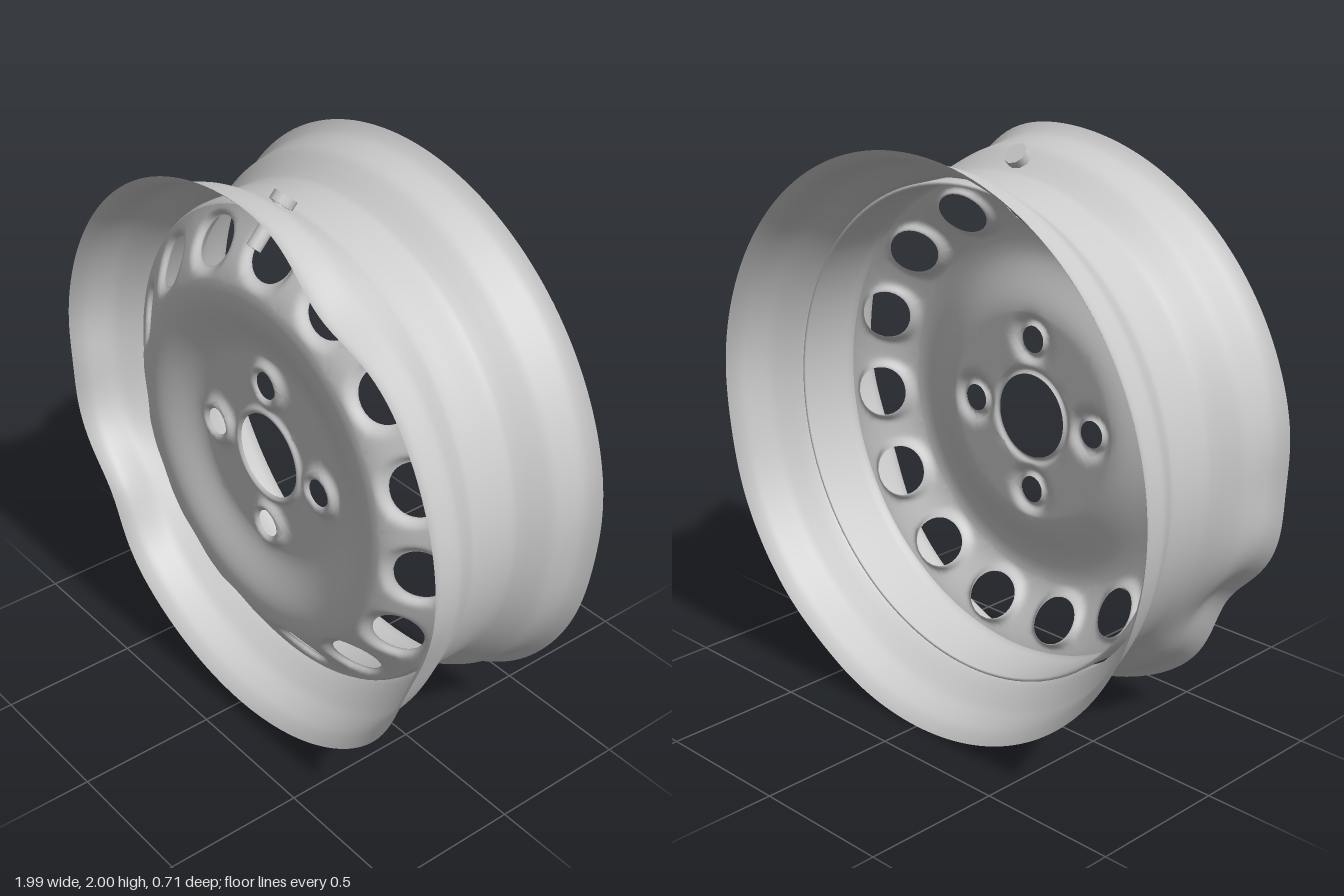
import * as THREE from 'three';
import { mergeVertices } from 'three/addons/utils/BufferGeometryUtils.js';

const steel = new THREE.MeshStandardMaterial({ color: 0xcccccc, side: THREE.DoubleSide });
const rad = THREE.MathUtils.degToRad;
const smooth = (a, b, v) => THREE.MathUtils.smoothstep(v, a, b);
const bump = (v, width) => Math.exp(-((v / width) ** 2));

const VENTS = { count: 15, r: 0.735, a: 0.092, b: 0.072, r0: 0.63, r1: 0.84, arc: 8, side: 8 };
const LUGS = { count: 4, r: 0.275, a: 0.048, b: 0.048, r0: 0.18, r1: 0.375, arc: 30, side: 8 };

// Offset from the nearest hole of a set, as [tangential, radial]
function holeOffset(x, y, set) {
  const step = (2 * Math.PI) / set.count;
  let t = Math.atan2(y, x) - Math.PI / 2;
  t -= Math.round(t / step) * step;
  const r = Math.hypot(x, y);
  return [r * Math.sin(t), r * Math.cos(t) - set.r];
}

// Height of the pressed disc: hub, raised crest, sloping vent band, lips around the holes
function discHeight(x, y) {
  const r = Math.hypot(x, y);
  let z = 0.2 + 0.065 * smooth(0.36, 0.58, r) - 0.15 * smooth(0.6, 0.9, r);
  z += 0.014 * bump(r - 0.163, 0.012);
  const [lu, lv] = holeOffset(x, y, LUGS);
  z += 0.024 * bump(Math.hypot(lu, lv) - 0.066, 0.02);
  const [vu, vv] = holeOffset(x, y, VENTS);
  const d = Math.max(0, Math.hypot(vu / VENTS.a, vv / VENTS.b) - 1);
  return z - 0.028 * bump(d, 0.2);
}

function createDiscGeometry() {
  const positions = [], index = [];
  // Join closed loops of [x, y], ordered from outer to inner
  const loft = (loops) => {
    const base = positions.length / 3, n = loops[0].length;
    loops.forEach((loop) => loop.forEach(([x, y]) => positions.push(x, y, discHeight(x, y))));
    for (let k = 0; k < loops.length - 1; k++) {
      for (let i = 0; i < n; i++) {
        const j = (i + 1) % n, o = base + k * n, p = o + n;
        index.push(o + i, o + j, p + j, o + i, p + j, p + i);
      }
    }
  };
  const polar = (r, t) => [r * Math.cos(t), r * Math.sin(t)];

  // Plain ring
  const annulus = (r0, r1, steps) => {
    const loops = [];
    for (let k = 0; k <= steps; k++) {
      const r = r1 + ((r0 - r1) * k) / steps;
      loops.push(Array.from({ length: 120 }, (_, i) => polar(r, rad(i * 3))));
    }
    loft(loops);
  };

  // Ring made of sectors, each narrowing to an elliptical hole
  const holedRing = (set) => {
    const half = Math.PI / set.count;
    for (let s = 0; s < set.count; s++) {
      const mid = Math.PI / 2 + 2 * half * s, lo = mid - half, hi = mid + half;
      const outline = [];
      const edge = (ra, ta, rb, tb, n) => {
        for (let i = 0; i < n; i++) outline.push(polar(ra + ((rb - ra) * i) / n, ta + ((tb - ta) * i) / n));
      };
      edge(set.r0, lo, set.r1, lo, set.side);
      edge(set.r1, lo, set.r1, hi, set.arc);
      edge(set.r1, hi, set.r0, hi, set.side);
      edge(set.r0, hi, set.r0, lo, set.arc);
      const [cx, cy] = polar(set.r, mid), c = Math.cos(mid), sn = Math.sin(mid);
      const hole = outline.map(([x, y]) => {
        const v = (x - cx) * c + (y - cy) * sn, u = -(x - cx) * sn + (y - cy) * c;
        const len = Math.hypot(u / set.a, v / set.b);
        return [cx + (v * c - u * sn) / len, cy + (v * sn + u * c) / len];
      });
      const loops = [];
      for (let k = 0; k <= 10; k++) {
        const f = 1 - (1 - k / 10) ** 1.4;
        loops.push(outline.map(([x, y], i) => [x + (hole[i][0] - x) * f, y + (hole[i][1] - y) * f]));
      }
      loft(loops);
    }
  };

  annulus(0.15, LUGS.r0, 6);
  holedRing(LUGS);
  annulus(LUGS.r1, VENTS.r0, 14);
  holedRing(VENTS);
  annulus(VENTS.r1, 0.846, 1);
  const geometry = new THREE.BufferGeometry();
  geometry.setAttribute('position', new THREE.Float32BufferAttribute(positions, 3));
  geometry.setIndex(index);
  const merged = mergeVertices(geometry, 1e-4);
  merged.computeVertexNormals();
  return merged;
}

// Lathe about the z axis from [radius, z] points
function lathe(points, segments) {
  const g = new THREE.LatheGeometry(points.map(([r, z]) => new THREE.Vector2(r, z)), segments);
  return g.rotateX(Math.PI / 2);
}

// Dents in the flanges: angle in degrees, angular width, depth, side of the rim
const DENTS = [
  [60, 13, 0.085, 1], [213, 12, 0.085, 1], [338, 15, 0.04, 1], [183, 9, 0.018, 1],
  [352, 12, 0.012, -1], [300, 10, 0.008, -1],
];

function createRimGeometry() {
  const half = [[0.87, 0], [0.87, 0.075], [0.884, 0.11], [0.912, 0.155], [0.938, 0.2],
    [0.95, 0.25], [0.962, 0.3], [0.98, 0.33], [0.998, 0.35]];
  const back = half.slice(1).reverse().map(([r, z]) => new THREE.Vector2(r, -z));
  const front = half.map(([r, z]) => new THREE.Vector2(r, z));
  const profile = new THREE.SplineCurve([...back, ...front]).getPoints(64);
  let g = lathe(profile.map((p) => [p.x, p.y]), 180);
  g.deleteAttribute('uv');
  g.deleteAttribute('normal');
  g = mergeVertices(g, 1e-4);
  const pos = g.attributes.position;
  for (let i = 0; i < pos.count; i++) {
    const x = pos.getX(i), y = pos.getY(i), z = pos.getZ(i);
    const r = Math.hypot(x, y), t = THREE.MathUtils.radToDeg(Math.atan2(y, x));
    let dr = 0, dz = 0;
    for (const [angle, width, depth, sign] of DENTS) {
      const delta = THREE.MathUtils.euclideanModulo(t - angle + 180, 360) - 180;
      const amount = bump(delta, width) * smooth(0.06, 0.34, z * sign);
      dr -= depth * amount;
      dz += sign * 0.1 * depth * amount;
    }
    const s = (r + dr) / r;
    pos.setXYZ(i, x * s, y * s, z + dz);
  }
  g.computeVertexNormals();
  return g;
}

// Cylinder between two points
function rod(a, b, radius, sides) {
  const dir = b.clone().sub(a);
  const g = new THREE.CylinderGeometry(radius, radius, dir.length(), sides);
  g.applyQuaternion(new THREE.Quaternion().setFromUnitVectors(new THREE.Vector3(0, 1, 0), dir.normalize()));
  return g.translate(...a.clone().add(b).multiplyScalar(0.5).toArray());
}

export function createModel() {
  const model = new THREE.Group();
  model.name = 'steelWheel';
  const add = (name, geometry, parent = model) => {
    const mesh = new THREE.Mesh(geometry, steel);
    mesh.name = name;
    parent.add(mesh);
  };

  add('rim', createRimGeometry());
  add('disc', createDiscGeometry());
  // Rolled edge and skirt seating the disc in the rim
  add('discSkirt', lathe([[0.845, 0.128], [0.853, 0.118], [0.858, 0.1], [0.86, 0.07], [0.86, -0.1],
    [0.849, -0.1], [0.849, 0.09]], 120));

  // Valve leaning forward through the rim
  const valve = new THREE.Group();
  valve.name = 'valve';
  const top = new THREE.Vector3(0, 0.925, 0.125), end = new THREE.Vector3(0, 0.79, 0.25);
  add('valveStem', rod(top, end, 0.026, 16), valve);
  add('valveHead', rod(top.clone().lerp(end, -0.04), top.clone().lerp(end, 0.14), 0.042, 10), valve);
  model.add(valve);

  model.position.set(-0.006, 1, -0.003);
  const root = new THREE.Group();
  root.name = 'wheel';
  root.add(model);
  return root;
}
